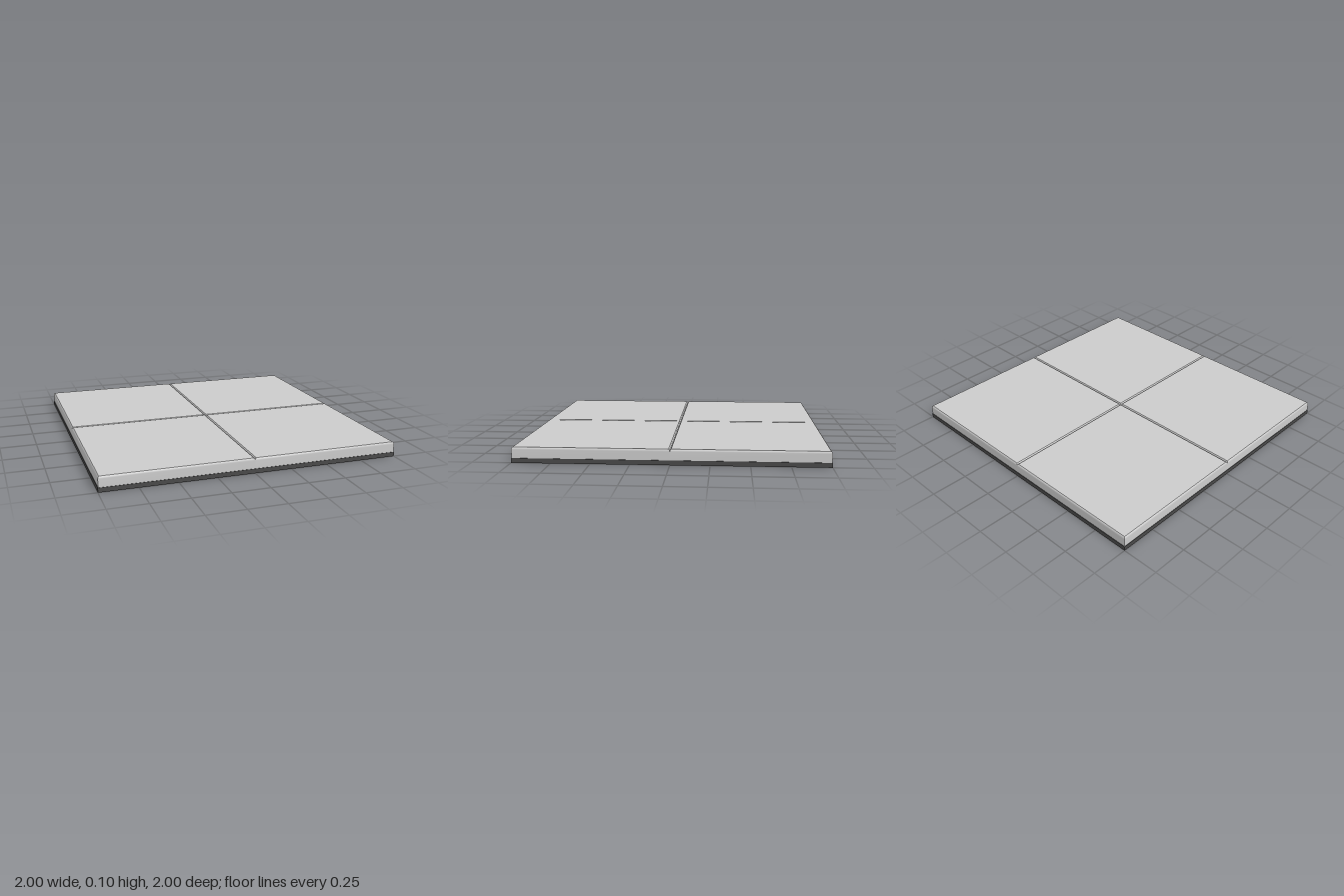
import * as THREE from 'three';
import { mergeGeometries } from 'three/addons/utils/BufferGeometryUtils.js';

const BASE_TOP = 0.03;
const HALF = 0.4985; // half width of one tile

// Tile profile from bottom to top: [half width, height]
const PROFILE = [
  [HALF, BASE_TOP],
  [HALF, 0.085],
  [HALF - 0.002, 0.094],
  [HALF - 0.008, 0.1],
];

// One side of a tile: smooth up the profile, sharp at the corners
function tileSide(angle) {
  const positions = [], uvs = [], index = [];
  PROFILE.forEach(([h, y], i) => {
    positions.push(-h, y, h, h, y, h);
    uvs.push(0, i / 3, 1, i / 3);
    if (i > 0) {
      const a = 2 * (i - 1);
      index.push(a, a + 1, a + 3, a, a + 3, a + 2);
    }
  });
  const geometry = new THREE.BufferGeometry();
  geometry.setAttribute('position', new THREE.Float32BufferAttribute(positions, 3));
  geometry.setAttribute('uv', new THREE.Float32BufferAttribute(uvs, 2));
  geometry.setIndex(index);
  geometry.computeVertexNormals();
  return geometry.rotateY(angle);
}

function tileGeometry() {
  const [topHalf, topY] = PROFILE[PROFILE.length - 1];
  const top = new THREE.PlaneGeometry(2 * topHalf, 2 * topHalf)
    .rotateX(-Math.PI / 2).translate(0, topY, 0);
  const bottom = new THREE.PlaneGeometry(2 * HALF, 2 * HALF)
    .rotateX(Math.PI / 2).translate(0, BASE_TOP, 0);
  const sides = [0, 1, 2, 3].map((i) => tileSide(i * Math.PI / 2));
  return mergeGeometries([top, bottom, ...sides]);
}

export function createModel() {
  const model = new THREE.Group();
  model.name = 'tiledFloor';

  // Dark backing slab
  const base = new THREE.Mesh(
    new THREE.BoxGeometry(2, BASE_TOP, 2),
    new THREE.MeshStandardMaterial({ color: 0x4a4a4a })
  );
  base.name = 'base';
  base.position.y = BASE_TOP / 2;
  model.add(base);

  // Four tiles whose softened edges meet in a cross-shaped groove
  const geometry = tileGeometry();
  const material = new THREE.MeshStandardMaterial({ color: 0xcccccc });
  for (const [z, row] of [[1, 'front'], [-1, 'back']]) {
    for (const [x, column] of [[1, 'Left'], [-1, 'Right']]) {
      const tile = new THREE.Mesh(geometry, material);
      tile.name = `${row}${column}Tile`;
      tile.position.set(x * HALF, 0, z * HALF);
      model.add(tile);
    }
  }
  return model;
}
